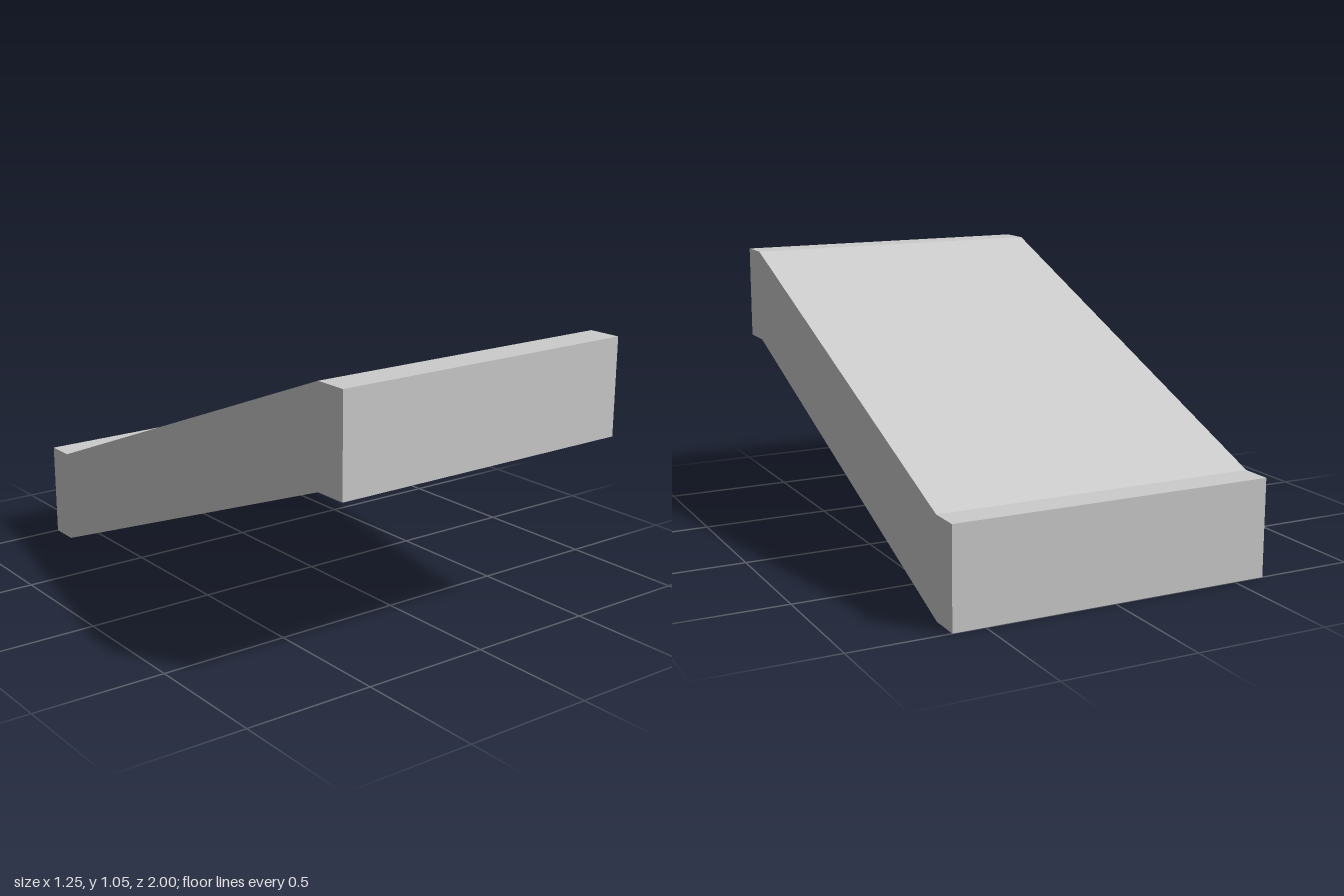
import * as THREE from 'three';

export function createModel() {
  const group = new THREE.Group();
  group.name = 'slopedRamp';

  const lightGrey = new THREE.MeshStandardMaterial({ color: 0xcccccc });
  lightGrey.name = 'lightGrey';

  const width = 1.245;
  const thickness = 0.373;
  const rise = 0.677;

  // Underside line from the high front lip to the low back lip, as [z, y]
  const underside = [[1, rise], [0.87, rise], [-0.88, 0], [-1, 0]];
  const topside = underside.map(([z, y]) => [z, y + thickness]).reverse();

  // Side profile drawn with shape x = -z, then extruded across the width
  const profile = new THREE.Shape(
    [...underside, ...topside].map(([z, y]) => new THREE.Vector2(-z, y))
  );
  const geometry = new THREE.ExtrudeGeometry(profile, { depth: width, bevelEnabled: false });
  geometry.translate(0, 0, -width / 2);
  geometry.rotateY(Math.PI / 2);

  const ramp = new THREE.Mesh(geometry, lightGrey);
  ramp.name = 'rampSlab';
  group.add(ramp);

  return group;
}
